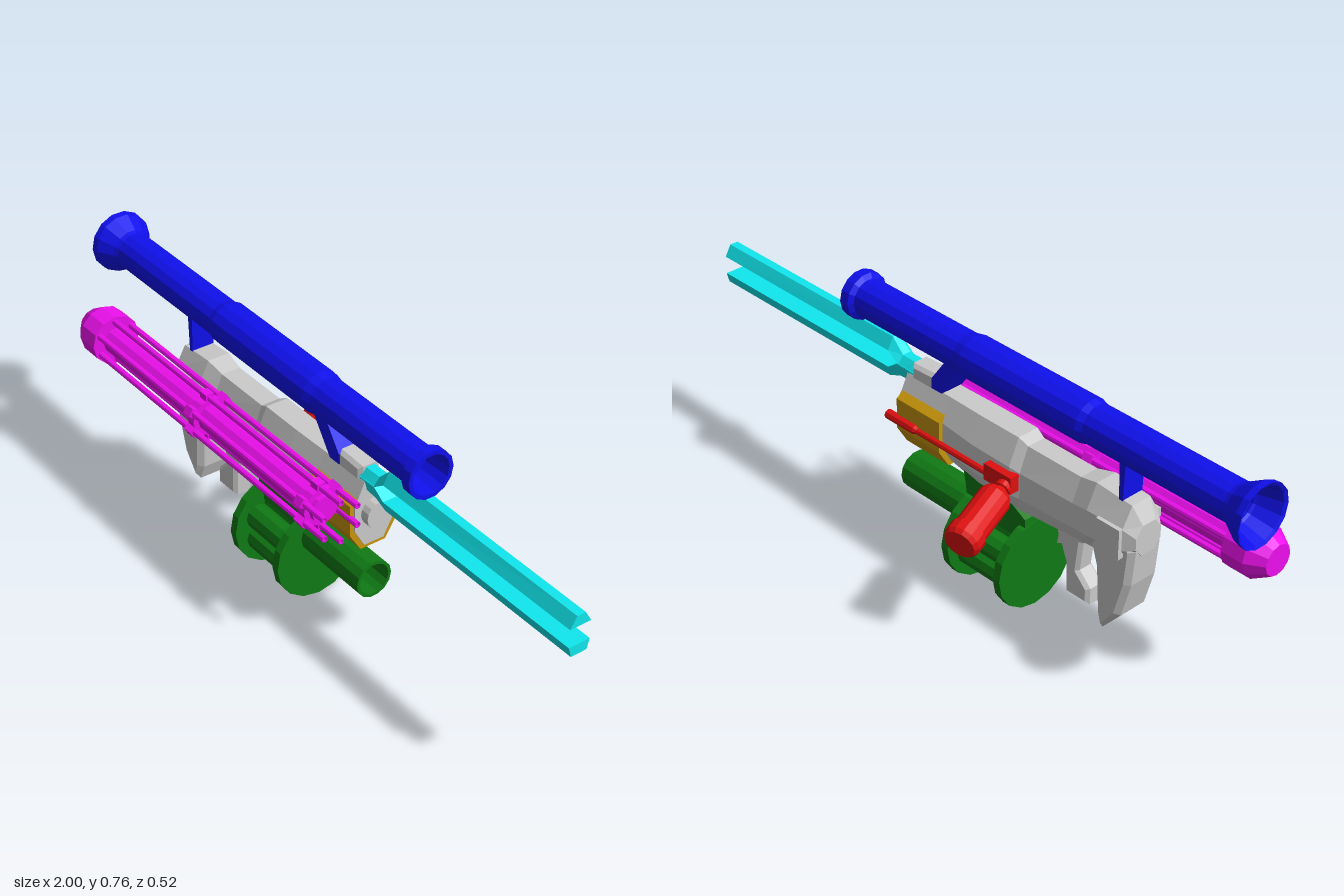
import * as THREE from 'three';

const CZ = 0.06; // z of the weapon's central plane

const paint = (color) => new THREE.MeshStandardMaterial({ color, flatShading: true, side: THREE.DoubleSide });

export function createModel() {
  const model = new THREE.Group();
  const grey = paint(0xcccccc), blue = paint(0x1010ee), magenta = paint(0xee10ee), cyan = paint(0x10e8ee);
  const green = paint(0x107a14), gold = paint(0xc8960c), red = paint(0xe01010);

  function add(name, geometry, material, parent = model) {
    const mesh = new THREE.Mesh(geometry, material);
    mesh.name = name;
    parent.add(mesh);
    return mesh;
  }

  // Turned part along x; profile is a list of [x, radius]
  function turned(name, profile, y, z, sides, material, parent) {
    const points = profile.map(([x, r]) => new THREE.Vector2(r, x));
    const geo = new THREE.LatheGeometry(points, sides);
    geo.rotateZ(-Math.PI / 2).translate(0, y, z);
    return add(name, geo, material, parent);
  }

  // Mirrored sections [x, [[halfWidth, y] from bottom to top]] joined along x
  function loft(name, sections, material, parent) {
    const pos = [], index = [];
    const n = sections[0][1].length * 2;
    for (const [x, half] of sections) {
      for (const [w, y] of half) pos.push(x, y, CZ + w);
      for (const [w, y] of [...half].reverse()) pos.push(x, y, CZ - w);
    }
    const last = (sections.length - 1) * n;
    for (let s = 0; s < last; s += n) {
      for (let j = 0; j < n; j++) {
        const k = (j + 1) % n;
        index.push(s + j, s + n + j, s + n + k, s + j, s + n + k, s + k);
      }
    }
    for (let j = 1; j < n - 1; j++) {
      index.push(0, j, j + 1, last, last + j + 1, last + j);
    }
    const geo = new THREE.BufferGeometry();
    geo.setAttribute('position', new THREE.Float32BufferAttribute(pos, 3));
    geo.setIndex(index);
    const flat = geo.toNonIndexed();
    flat.computeVertexNormals();
    return add(name, flat, material, parent);
  }

  // Side outline in x, y with a thickness in z
  function plate(name, outline, width, material, parent, bevel = 0) {
    const shape = new THREE.Shape(outline.map(([x, y]) => new THREE.Vector2(x, y)));
    const geo = new THREE.ExtrudeGeometry(shape, {
      depth: width - 2 * bevel, bevelEnabled: bevel > 0, bevelSize: bevel,
      bevelThickness: bevel, bevelOffset: -bevel, bevelSegments: 1,
    });
    geo.translate(0, 0, CZ - width / 2 + bevel);
    return add(name, geo, material, parent);
  }

  function group(name) {
    const g = new THREE.Group();
    g.name = name;
    model.add(g);
    return g;
  }

  // Receiver: octagonal sections
  const octagon = (x, y0, y1, w) => [x, [
    [w * 0.5, y0], [w, y0 + (y1 - y0) * 0.28], [w, y0 + (y1 - y0) * 0.66], [w * 0.5, y1],
  ]];
  const frame = group('receiver');
  loft('receiverBody', [
    octagon(-0.65, 0.38, 0.47, 0.045), octagon(-0.62, 0.35, 0.52, 0.065), octagon(-0.5, 0.33, 0.53, 0.068),
    octagon(-0.44, 0.32, 0.515, 0.058), octagon(-0.25, 0.305, 0.515, 0.058), octagon(-0.22, 0.305, 0.53, 0.068),
    octagon(-0.08, 0.31, 0.53, 0.068), octagon(0.04, 0.33, 0.53, 0.062), octagon(0.212, 0.33, 0.53, 0.062),
  ], grey, frame);
  turned('nozzle', [[0.2, 0], [0.2, 0.042], [0.24, 0.042], [0.24, 0]], 0.43, CZ, 16, grey, frame);
  plate('stock', [[-0.65, 0.4], [-0.64, 0.29], [-0.61, 0.18], [-0.55, 0.11], [-0.53, 0.16], [-0.52, 0.3],
    [-0.5, 0.36], [-0.52, 0.44], [-0.62, 0.44]], 0.116, grey, frame, 0.015);
  for (const side of [-1, 1]) {
    const pad = add('shoulderPad', new THREE.BoxGeometry(0.08, 0.09, 0.02), grey, frame);
    pad.position.set(-0.58, 0.42, CZ + side * 0.066);
  }
  plate('grip', [[-0.49, 0.36], [-0.45, 0.31], [-0.44, 0.22], [-0.48, 0.18], [-0.48, 0.13], [-0.395, 0.13],
    [-0.39, 0.23], [-0.37, 0.28], [-0.36, 0.35]], 0.06, grey, frame, 0.01);
  plate('trigger', [[-0.37, 0.32], [-0.365, 0.26], [-0.345, 0.25], [-0.35, 0.28], [-0.34, 0.32]], 0.02, grey, frame);
  plate('topBlock', [[0.06, 0.5], [0.09, 0.57], [0.195, 0.565], [0.195, 0.5]], 0.066, grey, frame, 0.01);

  // Gold cradle under the front of the receiver
  const cradle = [[0.04, 0.318], [0.075, 0.375], [0.075, 0.468], [0.05, 0.485]];
  loft('cradle', [[0.04, cradle], [0.208, cradle]], gold);

  // Launch tube with flared rear and collared muzzle
  const launcher = group('launchTube');
  turned('tube', [
    [-0.9, 0], [-0.9, 0.05], [-0.995, 0.08], [-1, 0.09], [-0.98, 0.088], [-0.925, 0.056], [-0.46, 0.056],
    [-0.44, 0.062], [-0.02, 0.062], [0.01, 0.056], [0.4, 0.056], [0.41, 0.07], [0.44, 0.07], [0.44, 0.058],
    [0.36, 0.05], [0.36, 0],
  ], 0.67, CZ, 14, blue, launcher);
  plate('rearStrut', [[-0.593, 0.63], [-0.59, 0.52], [-0.577, 0.52], [-0.573, 0.63]], 0.07, blue, launcher);
  plate('frontStrut', [[0, 0.63], [0.07, 0.53], [0.11, 0.53], [0.11, 0.56], [0.06, 0.63]], 0.074, blue, launcher);

  // Rotary barrels
  const GY = 0.46, GZ = 0.185;
  const rotary = group('rotaryGun');
  turned('rearCap', [[-0.96, 0], [-0.96, 0.045], [-0.91, 0.075], [-0.84, 0.075], [-0.84, 0]], GY, GZ, 12, magenta, rotary);
  turned('core', [[-0.85, 0], [-0.85, 0.04], [0.17, 0.04], [0.17, 0]], GY, GZ, 12, magenta, rotary);
  for (const x of [-0.37, 0.14]) {
    turned('clampRing', [[x - 0.015, 0], [x - 0.015, 0.056], [x + 0.015, 0.056], [x + 0.015, 0]], GY, GZ, 12, magenta, rotary);
  }
  for (let i = 0; i < 6; i++) {
    const a = (i * Math.PI) / 3;
    const y = GY + 0.06 * Math.cos(a), z = GZ + 0.06 * Math.sin(a);
    turned('barrel', [[-0.85, 0], [-0.85, 0.009], [0.24, 0.009], [0.24, 0.006], [0.2, 0.006], [0.2, 0]], y, z, 8, magenta, rotary);
    for (const x of [-0.37, 0.14]) {
      const lug = add('clampLug', new THREE.BoxGeometry(0.03, 0.025, 0.025), magenta, rotary);
      lug.position.set(x, y, z);
      lug.rotation.x = a;
    }
  }

  // Rail prongs, forking from a common base
  const rails = group('railFork');
  const upper = (x, y0, y1) => [x, [[0.032, y0], [0.013, y1]]];
  const lower = (x, y0, y1) => [x, [[0.024, y0], [0.032, y1]]];
  loft('upperProng', [upper(0.19, 0.535, 0.56), upper(0.25, 0.537, 0.56), upper(0.29, 0.565, 0.6), upper(1, 0.567, 0.6)], cyan, rails);
  loft('lowerProng', [lower(0.19, 0.505, 0.537), lower(0.25, 0.5, 0.54), lower(0.29, 0.483, 0.513), lower(1, 0.483, 0.513)], cyan, rails);

  // Drum launcher
  const DY = 0.137;
  const drum = group('drumLauncher');
  for (const x of [-0.26, -0.06]) {
    turned('drumPlate', [[x, 0], [x, 0.136], [x + 0.025, 0.136], [x + 0.025, 0]], DY, CZ, 16, green, drum);
  }
  turned('drumHub', [[-0.25, 0], [-0.25, 0.075], [-0.05, 0.075], [-0.05, 0]], DY, CZ, 12, green, drum);
  for (let i = 0; i < 6; i++) {
    const a = (i * Math.PI) / 3;
    turned('chamber', [[-0.25, 0], [-0.25, 0.038], [-0.05, 0.038], [-0.05, 0]],
      DY + 0.07 * Math.cos(a), CZ + 0.07 * Math.sin(a), 10, green, drum);
  }
  turned('drumBarrel', [[-0.05, 0], [-0.05, 0.056], [0.215, 0.056], [0.215, 0.047], [0, 0.047], [0, 0]], 0.205, CZ, 14, green, drum);
  plate('drumMount', [[-0.26, 0.22], [-0.04, 0.22], [-0.02, 0.335], [-0.2, 0.32], [-0.255, 0.29]], 0.08, green, drum);

  // Flame unit on the right: tank, valve and long pipe
  const flamer = group('flameUnit');
  const valve = add('valveBlock', new THREE.BoxGeometry(0.1, 0.05, 0.03), red, flamer);
  valve.position.set(-0.2, 0.417, -0.016);
  turned('pipe', [[-0.2, 0], [-0.2, 0.009], [0.12, 0.009], [0.13, 0.014], [0.24, 0.014], [0.24, 0.009], [0.2, 0]],
    0.406, -0.018, 8, red, flamer);
  const tankProfile = [[0, -0.035], [0.014, -0.035], [0.014, -0.018], [0.022, -0.016], [0.022, 0.0], [0.016, 0.002],
    [0.02, 0.012], [0.038, 0.02], [0.046, 0.035], [0.046, 0.165], [0.052, 0.167], [0.052, 0.2], [0.044, 0.212], [0, 0.212]];
  const tank = add('fuelTank', new THREE.LatheGeometry(tankProfile.map(([r, y]) => new THREE.Vector2(r, y)), 14), red, flamer);
  tank.position.set(-0.232, 0.408, -0.045);
  tank.quaternion.setFromUnitVectors(new THREE.Vector3(0, 1, 0), new THREE.Vector3(-0.055, -0.05, -0.2).normalize());

  return model;
}
